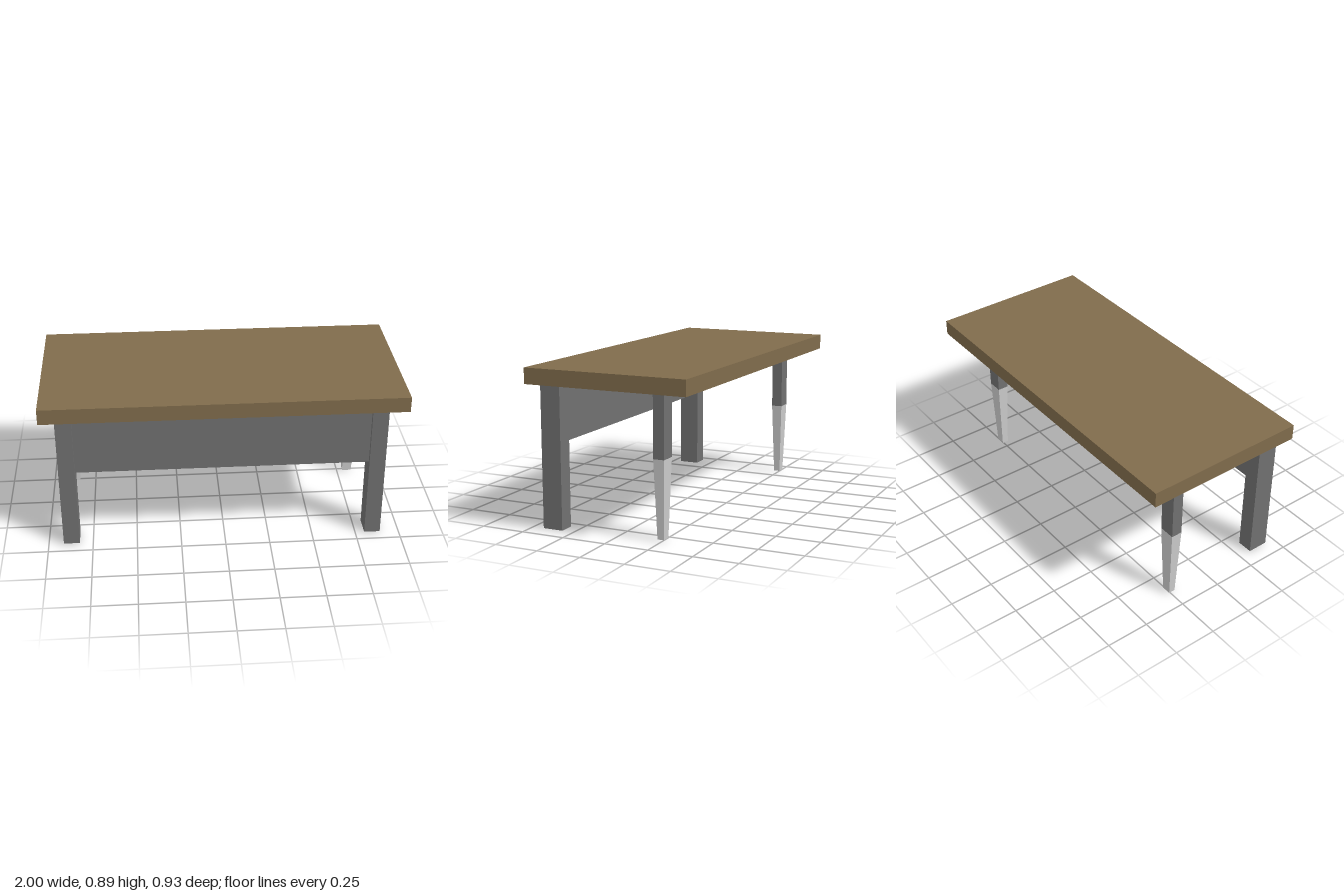
import * as THREE from 'three';

const wood = new THREE.MeshStandardMaterial({ color: 0x806c4c, flatShading: true });
const darkMetal = new THREE.MeshStandardMaterial({ color: 0x707070, flatShading: true });
const paleMetal = new THREE.MeshStandardMaterial({ color: 0xcccccc, flatShading: true });

// Box given by its limits on each axis
function block(name, material, [x0, x1], [y0, y1], [z0, z1]) {
  const mesh = new THREE.Mesh(new THREE.BoxGeometry(x1 - x0, y1 - y0, z1 - z0), material);
  mesh.name = name;
  mesh.position.set((x0 + x1) / 2, (y0 + y1) / 2, (z0 + z1) / 2);
  return mesh;
}

// Rear leg: straight dark upper half, pale lower half narrowing to the foot
function rearLeg(name, x, z) {
  const width = 0.09, depth = 0.063, split = 0.437, foot = 0.007, taper = 0.59;
  const leg = new THREE.Group();
  leg.name = name;
  leg.add(block('upperLeg', darkMetal, [x - width / 2, x + width / 2], [split, 0.8], [z - depth / 2, z + depth / 2]));
  const lower = block('taperedLowerLeg', paleMetal, [x - width / 2, x + width / 2], [foot, split], [z - depth / 2, z + depth / 2]);
  const p = lower.geometry.attributes.position;
  for (let i = 0; i < p.count; i++) {
    if (p.getY(i) < 0) {
      p.setX(i, p.getX(i) * taper);
      p.setZ(i, p.getZ(i) * taper);
    }
  }
  lower.geometry.computeVertexNormals();
  leg.add(lower);
  return leg;
}

export function createModel() {
  const desk = new THREE.Group();
  desk.name = 'desk';

  // Thick wooden top
  desk.add(block('tableTop', wood, [-1, 1], [0.8, 0.887], [-0.464, 0.464]));

  // Square front legs and the panel between them
  desk.add(block('frontLegLeft', darkMetal, [0.803, 0.893], [0, 0.8], [0.319, 0.435]));
  desk.add(block('frontLegRight', darkMetal, [-0.915, -0.825], [0.007, 0.8], [0.319, 0.438]));
  desk.add(block('frontPanel', darkMetal, [-0.825, 0.803], [0.463, 0.8], [0.357, 0.415]));

  // Tapered rear legs
  desk.add(rearLeg('rearLegLeft', 0.81, -0.241));
  desk.add(rearLeg('rearLegRight', -0.87, -0.241));

  return desk;
}
